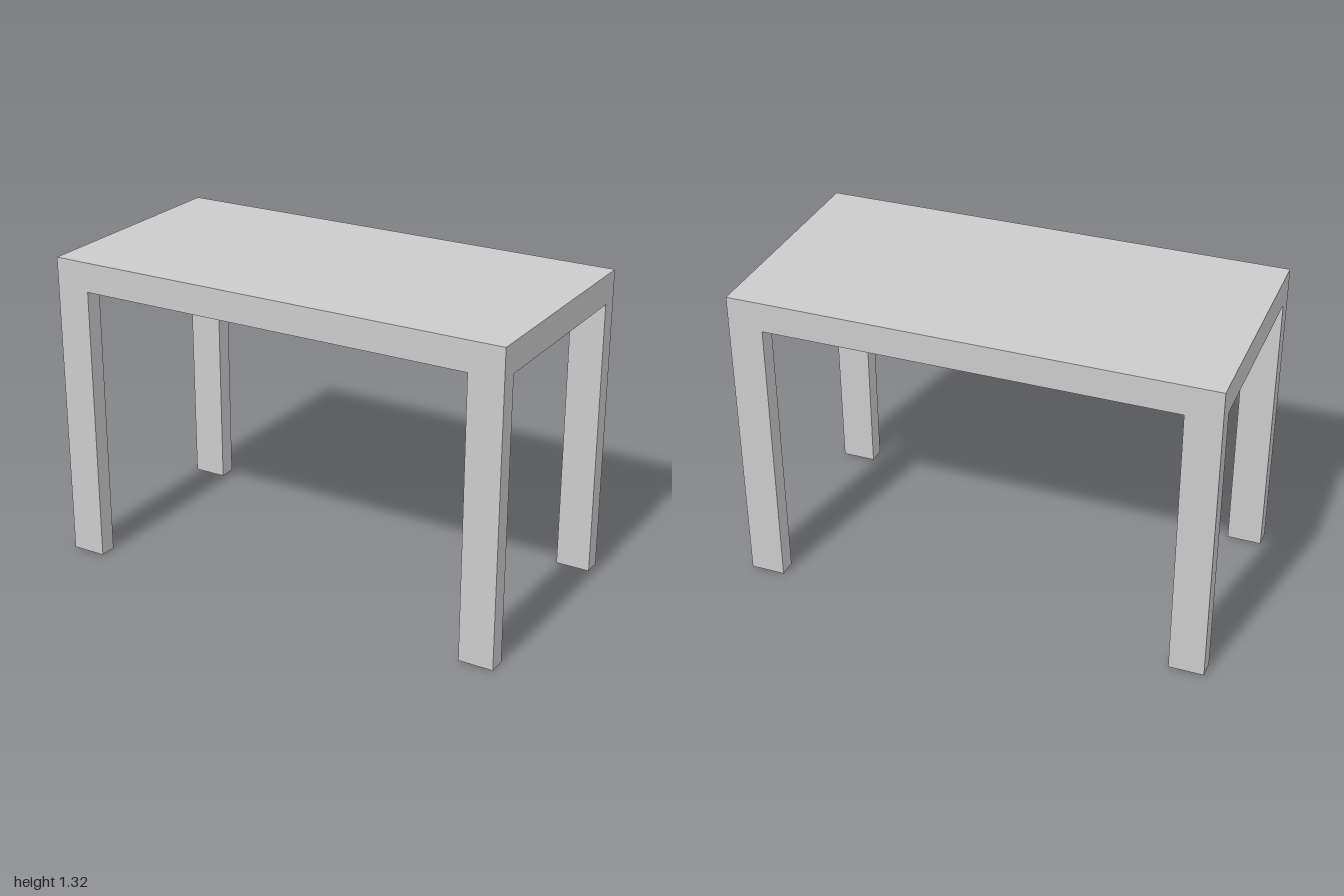
import * as THREE from 'three';

const LENGTH = 2, DEPTH = 1, HEIGHT = 1.315, SLAB = 0.125;
const LEG_X = 0.147, LEG_Z = 0.075;

export function createModel() {
  const table = new THREE.Group();
  table.name = 'table';
  const material = new THREE.MeshStandardMaterial({ color: 0xcccccc });

  const addBox = (name, w, h, d, x, y, z) => {
    const mesh = new THREE.Mesh(new THREE.BoxGeometry(w, h, d), material);
    mesh.name = name;
    mesh.position.set(x, y, z);
    table.add(mesh);
  };

  // Thick slab top
  addBox('tableTop', LENGTH, SLAB, DEPTH, 0, HEIGHT - SLAB / 2, 0);

  // Four rectangular legs, flush with the corners of the top
  const legHeight = HEIGHT - SLAB;
  for (const [sideX, nameX] of [[1, 'Left'], [-1, 'Right']]) {
    for (const [sideZ, nameZ] of [[1, 'front'], [-1, 'back']]) {
      addBox(`${nameZ}${nameX}Leg`, LEG_X, legHeight, LEG_Z,
        sideX * (LENGTH - LEG_X) / 2, legHeight / 2, sideZ * (DEPTH - LEG_Z) / 2);
    }
  }
  return table;
}
